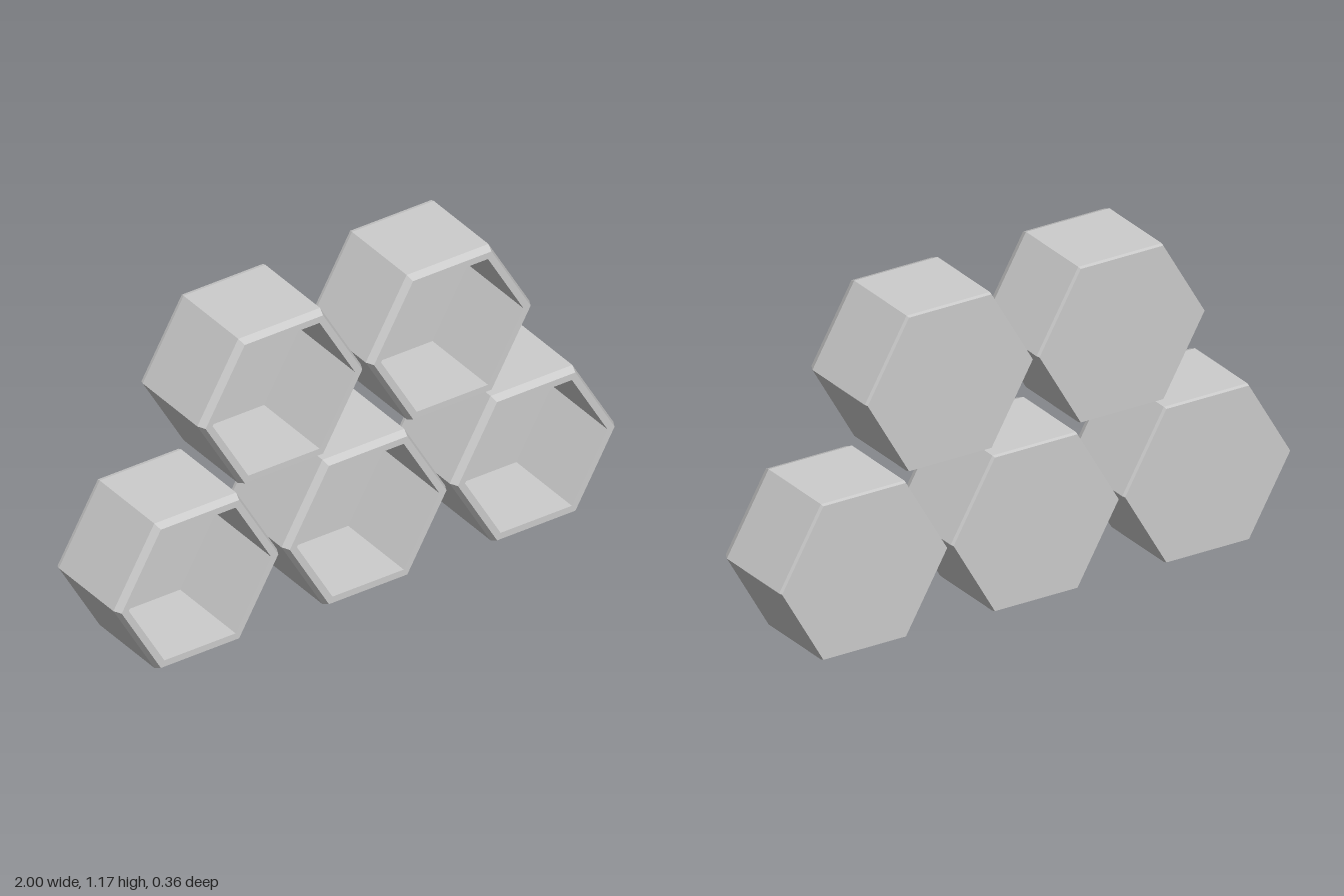
import * as THREE from 'three';

const APOTHEM = 0.2835; // centre to flat side of one cell
const HALF_DEPTH = 0.178;

// Open-fronted hexagonal cup: profile of [apothem, z] turned in six steps
function cellGeometry() {
  const profile = [
    [0, -HALF_DEPTH], // back face
    [APOTHEM - 0.003, -HALF_DEPTH],
    [APOTHEM, -0.165], // slightly eased back edge
    [APOTHEM, 0.15],
    [APOTHEM - 0.012, HALF_DEPTH], // front chamfer
    [0.247, HALF_DEPTH], // flat rim
    [0.247, -0.142], // inner wall
    [0, -0.142], // inner floor
  ].map(([a, z]) => new THREE.Vector2(a / Math.cos(Math.PI / 6), z));
  const geometry = new THREE.LatheGeometry(profile, 6, Math.PI / 2);
  geometry.rotateX(Math.PI / 2); // opening faces the front
  return geometry;
}

export function createModel() {
  const model = new THREE.Group();
  model.name = 'honeycombShelf';
  const grey = new THREE.MeshStandardMaterial({ color: 0xcccccc, flatShading: true });
  grey.name = 'light grey';
  const geometry = cellGeometry();

  // Three cells below, two nested above
  const rows = [
    { name: 'lowerCell', y: APOTHEM, xs: [-0.673, 0, 0.673] },
    { name: 'upperCell', y: 0.884, xs: [-0.337, 0.337] },
  ];
  for (const { name, y, xs } of rows) {
    xs.forEach((x, i) => {
      const cell = new THREE.Mesh(geometry, grey);
      cell.name = name + (i + 1);
      cell.position.set(x, y, 0);
      model.add(cell);
    });
  }
  return model;
}
